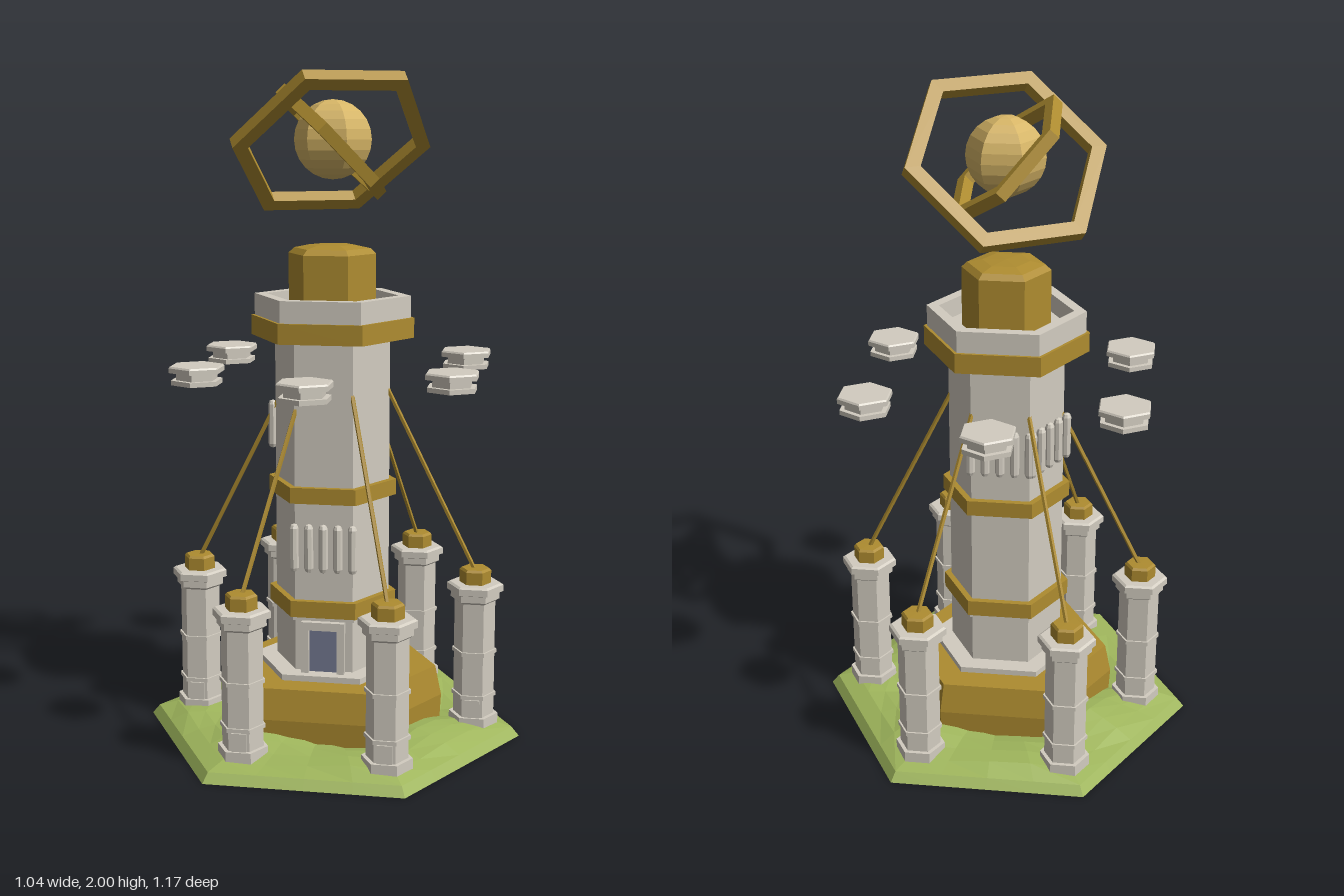
import * as THREE from 'three';

const mat = (name, color, extra = {}) => {
  const m = new THREE.MeshStandardMaterial({ color, flatShading: true, ...extra });
  m.name = name;
  return m;
};

export function createModel() {
  const stone = mat('stone', 0xd2ccc0);
  const gold = mat('gold', 0xae8c30);
  const paleGold = mat('paleGold', 0xd6b566);
  const grass = mat('grass', 0x9fb65c, { side: THREE.DoubleSide });
  const slate = mat('slate', 0x747a92);

  const root = new THREE.Group();
  root.name = 'tower';
  const CX = -0.013;

  const add = (parent, name, geo, material, x = 0, y = 0, z = 0) => {
    const m = new THREE.Mesh(geo, material);
    m.name = name;
    m.position.set(x, y, z);
    parent.add(m);
    return m;
  };
  const group = (name, x = 0, y = 0, z = 0) => {
    const g = new THREE.Group();
    g.name = name;
    g.position.set(x, y, z);
    root.add(g);
    return g;
  };
  // Six-sided turned part from [radius, height] pairs; corners face +z and -z
  const turned = pts => new THREE.LatheGeometry(pts.map(p => new THREE.Vector2(...p)), 6);
  const prism = (r, y0, y1) => turned([[0, y0], [r, y0], [r, y1], [0, y1]]);
  const hollow = (ro, ri, y0, y1) => turned([[ri, y0], [ro, y0], [ro, y1], [ri, y1], [ri, y0]]);

  // Grassy hexagonal ground: rings of points with gentle bumps
  const radii = [0.583, 0.56, 0.5, 0.44, 0.38, 0.29];
  const N = 24, per = N / 6, pos = [], idx = [];
  radii.forEach((r, j) => {
    for (let i = 0; i < N; i++) {
      const k = Math.floor(i / per), f = (i % per) / per;
      const a = k * Math.PI / 3, b = a + Math.PI / 3;
      const x = r * (Math.sin(a) * (1 - f) + Math.sin(b) * f);
      const z = r * (Math.cos(a) * (1 - f) + Math.cos(b) * f);
      const bump = 0.5 + 0.5 * Math.sin(11 * x + 1.2 + 3 * z) * Math.cos(13 * z - 4 * x);
      const y = j === 0 ? 0 : j === 1 ? 0.028 : 0.034 + (0.01 + 0.012 * (j - 1)) * bump;
      pos.push(x, y, z);
    }
  });
  for (let j = 0; j < radii.length - 1; j++) {
    for (let i = 0; i < N; i++) {
      const a = j * N + i, b = j * N + (i + 1) % N;
      idx.push(a, b, a + N, b, b + N, a + N);
    }
  }
  const ground = new THREE.BufferGeometry();
  ground.setAttribute('position', new THREE.Float32BufferAttribute(pos, 3));
  ground.setIndex(idx);
  ground.computeVertexNormals();
  add(root, 'ground', ground, grass, CX);

  // Tower: base, shaft, bands, parapet and cap
  const tower = group('mainTower', CX);
  add(tower, 'base', turned([[0.265, 0.01], [0.335, 0.01], [0.341, 0.12], [0.322, 0.212],
    [0.2, 0.212], [0.265, 0.15], [0.265, 0.01]]), gold);
  add(tower, 'foundation', prism(0.266, 0.035, 0.15), stone);
  add(tower, 'plinth', prism(0.236, 0.2, 0.23), stone);
  add(tower, 'shaft', prism(0.175, 0.2, 1.26), stone);
  add(tower, 'lowerBand', prism(0.196, 0.4, 0.45), gold);
  add(tower, 'lowerTrim', prism(0.186, 0.388, 0.4), stone);
  add(tower, 'middleBand', prism(0.196, 0.75, 0.798), gold);
  add(tower, 'upperBand', prism(0.247, 1.23, 1.29), gold);
  add(tower, 'parapet', hollow(0.237, 0.2, 1.285, 1.355), stone);
  add(tower, 'balconyFloor', prism(0.21, 1.285, 1.298), stone);
  add(tower, 'cap', turned([[0.132, 1.29], [0.132, 1.478], [0.115, 1.494], [0.07, 1.503], [0, 1.506]]), gold);

  // Fittings on the tower faces; the angle is the face direction about y
  const face = (name, angle) => {
    const g = new THREE.Group();
    g.name = name;
    g.rotation.y = angle;
    tower.add(g);
    return g;
  };
  const door = face('door', -Math.PI / 6);
  for (const s of [-1, 1]) add(door, 'doorPost', new THREE.BoxGeometry(0.022, 0.16, 0.034), stone, s * 0.054, 0.29, 0.162);
  add(door, 'doorLintel', new THREE.BoxGeometry(0.13, 0.025, 0.034), stone, 0, 0.376, 0.162);
  add(door, 'doorPanel', new THREE.BoxGeometry(0.086, 0.145, 0.008), slate, 0, 0.292, 0.157);

  for (const [angle, y] of [[-Math.PI / 6, 0.613], [Math.PI * 5 / 6, 0.955], [-Math.PI * 5 / 6, 0.955]]) {
    const slats = face('slats', angle);
    for (let i = -2; i <= 2; i++) {
      add(slats, 'slat', new THREE.CapsuleGeometry(0.014, 0.122, 2, 8), stone, i * 0.044, y, 0.162);
    }
  }

  // Ring of pillars, each tied to the tower by a cable
  for (let i = 0; i < 6; i++) {
    const a = i * Math.PI / 3, s = Math.sin(a), c = Math.cos(a);
    const x = i % 3 ? -0.003 + Math.sign(s) * 0.371 : CX;
    const z = i % 3 ? Math.sign(c) * 0.222 : c * 0.45;
    const p = group('pillar', x, 0, z);
    add(p, 'pillarFoot', prism(0.075, 0.015, 0.072), stone);
    add(p, 'pillarShaft', prism(0.062, 0.05, 0.46), stone);
    for (const y of [0.135, 0.272]) add(p, 'pillarRing', prism(0.068, y - 0.006, y + 0.006), stone);
    add(p, 'pillarCapital', turned([[0.062, 0.43], [0.074, 0.438], [0.074, 0.458], [0.086, 0.462],
      [0.086, 0.482], [0.078, 0.487], [0, 0.487]]), stone);
    add(p, 'pillarFinial', turned([[0.048, 0.48], [0.048, 0.525], [0.042, 0.532], [0, 0.533]]), gold);
    const panel = add(p, 'pillarPanel', new THREE.BoxGeometry(0.045, 0.055, 0.008), stone, -0.028, 0.1, 0.0485);
    panel.rotation.y = -Math.PI / 6;

    const from = new THREE.Vector3(x, 0.52, z);
    const to = new THREE.Vector3(CX + s * 0.168, s < -0.1 ? 1.03 : 1.075, c * 0.168);
    add(root, 'cable', new THREE.TubeGeometry(new THREE.LineCurve3(from, to), 1, 0.007, 5), gold);
  }

  // Floating spool-shaped platforms with gold undersides
  const spots = [[-0.213, -0.384], [0.21, -0.39], [0.436, -0.012], [0.21, 0.377], [-0.238, 0.39], [-0.436, 0.006]];
  for (const [x, z] of spots) {
    const p = group('floatingPlatform', x, 1.11, z);
    p.rotation.y = Math.PI / 6;
    add(p, 'platformBody', turned([[0.05, 0.008], [0.05, 0], [0.078, 0], [0.078, 0.014], [0.062, 0.014],
      [0.062, 0.036], [0.084, 0.036], [0.084, 0.05], [0.08, 0.055], [0, 0.055]]), stone);
    add(p, 'platformCore', prism(0.052, 0.005, 0.03), gold);
  }

  // Orb with two tilted hexagonal rings
  const orb = add(root, 'orb', new THREE.SphereGeometry(0.116, 6, 12), paleGold, CX + 0.002, 1.81, 0);
  orb.rotation.y = Math.PI / 6;

  const hexPoints = r => Array.from({ length: 6 }, (_, i) =>
    new THREE.Vector2(r * Math.cos(i * Math.PI / 3), r * Math.sin(i * Math.PI / 3)));
  const hexRing = (name, ro, ri, depth, u, v) => {
    const shape = new THREE.Shape(hexPoints(ro));
    shape.holes.push(new THREE.Path(hexPoints(ri)));
    const geo = new THREE.ExtrudeGeometry(shape, { depth, bevelEnabled: false });
    geo.translate(0, 0, -depth / 2);
    const e1 = new THREE.Vector3(...u).normalize();
    const n = e1.clone().cross(new THREE.Vector3(...v)).normalize();
    const e2 = n.clone().cross(e1);
    geo.applyMatrix4(new THREE.Matrix4().makeBasis(e1, e2, n));
    add(root, name, geo, gold, CX, 1.8, 0);
  };
  hexRing('outerRing', 0.309, 0.262, 0.038, [1, 0, 0], [0, 1, 1]);
  hexRing('innerRing', 0.226, 0.188, 0.036, [-0.72, 0.69, 0.04], [-0.1, -0.17, 0.98]);

  return root;
}
